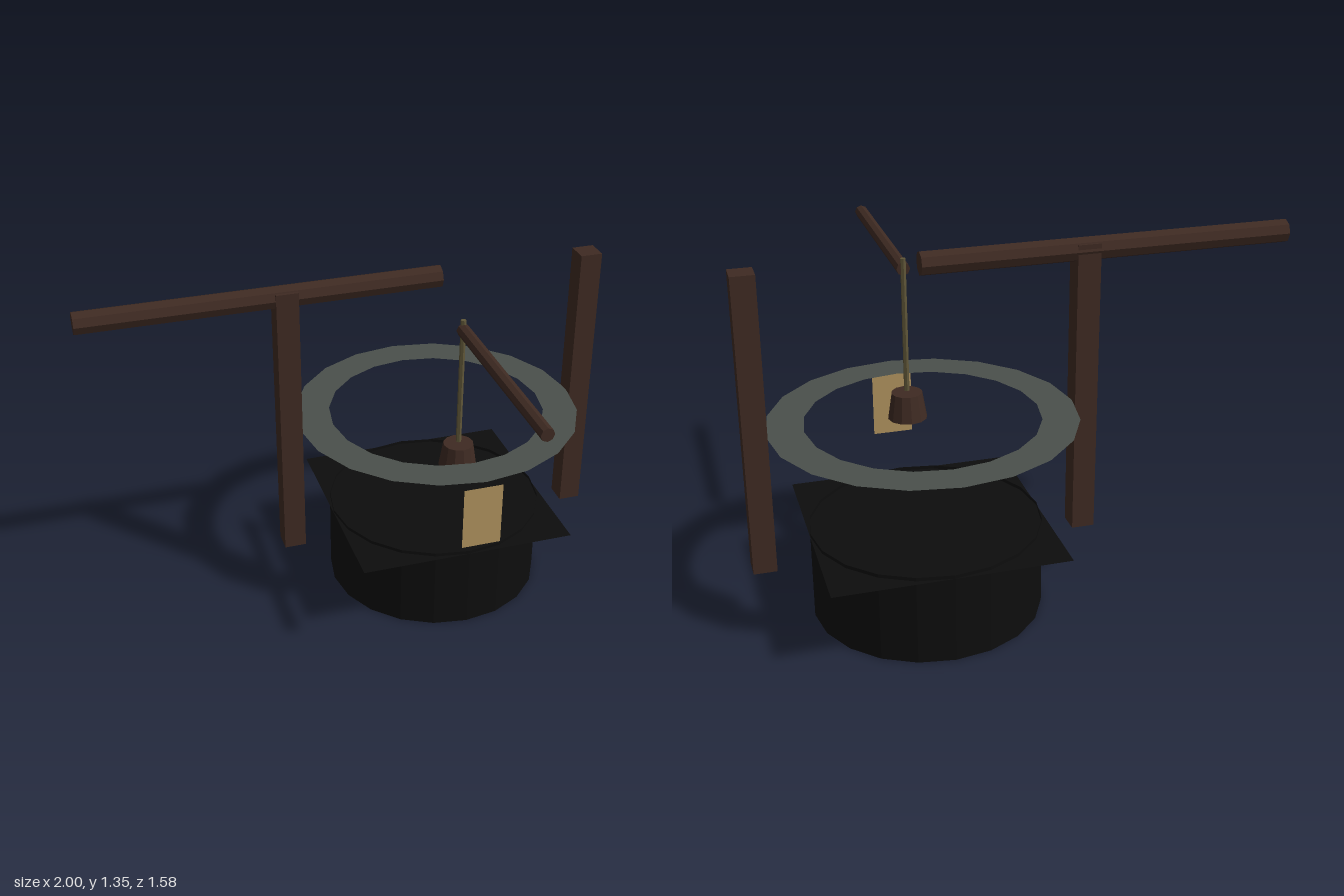
import * as THREE from 'three';

export function createModel() {
  const model = new THREE.Group();
  const mat = (name, color, extra = {}) => {
    const m = new THREE.MeshStandardMaterial({ color, flatShading: true, ...extra });
    m.name = name;
    return m;
  };
  const open = { side: THREE.DoubleSide };
  const wood = mat('dark wood', 0x3e2a22);
  const rope = mat('rope', 0x5f5638);
  const black = mat('black', 0x0d0d0d, open);
  const stone = mat('stone', 0x4a504b, open);
  const paper = mat('parchment', 0xb0935e, open);

  const add = (name, geometry, material, x, y, z) => {
    const mesh = new THREE.Mesh(geometry, material);
    mesh.name = name;
    mesh.position.set(x, y, z);
    model.add(mesh);
    return mesh;
  };
  const cx = 0.36, cz = -0.233, bucketZ = 0.025;

  // open well shaft with the water sheet just below its rim
  add('wellShaft', new THREE.CylinderGeometry(0.424, 0.424, 0.34, 20, 1, true), black, cx, 0.17, cz);
  add('water', new THREE.PlaneGeometry(0.85, 0.85).rotateX(-Math.PI / 2), black, cx, 0.327, cz);

  // flat stone rim
  add('stoneRim', new THREE.RingGeometry(0.422, 0.556, 20).rotateX(-Math.PI / 2), stone, cx, 0.74, cz);

  // posts on either side of the well
  for (const [name, x] of [['rightPost', -0.237], ['leftPost', 0.955]]) {
    add(name, new THREE.BoxGeometry(0.085, 1.107, 0.085), wood, x, 0.7835, -0.23);
  }

  // round beam across the posts and the crank bar
  add('crossBeam', new THREE.CylinderGeometry(0.043, 0.043, 1.36, 8).rotateZ(Math.PI / 2), wood, -0.32, 1.311, cz);
  add('crankBar', new THREE.CylinderGeometry(0.025, 0.025, 0.77, 8).rotateX(Math.PI / 2), wood, cx, 1.21, 0.408);

  // rope and hanging bucket
  add('rope', new THREE.CylinderGeometry(0.0105, 0.0105, 0.51, 6), rope, cx, 0.995, bucketZ);
  add('bucket', new THREE.CylinderGeometry(0.058, 0.074, 0.1, 12), wood, cx, 0.682, bucketZ);

  // notice sheet
  add('notice', new THREE.PlaneGeometry(0.153, 0.255), paper, 0.36, 0.573, 0.3);

  return model;
}
